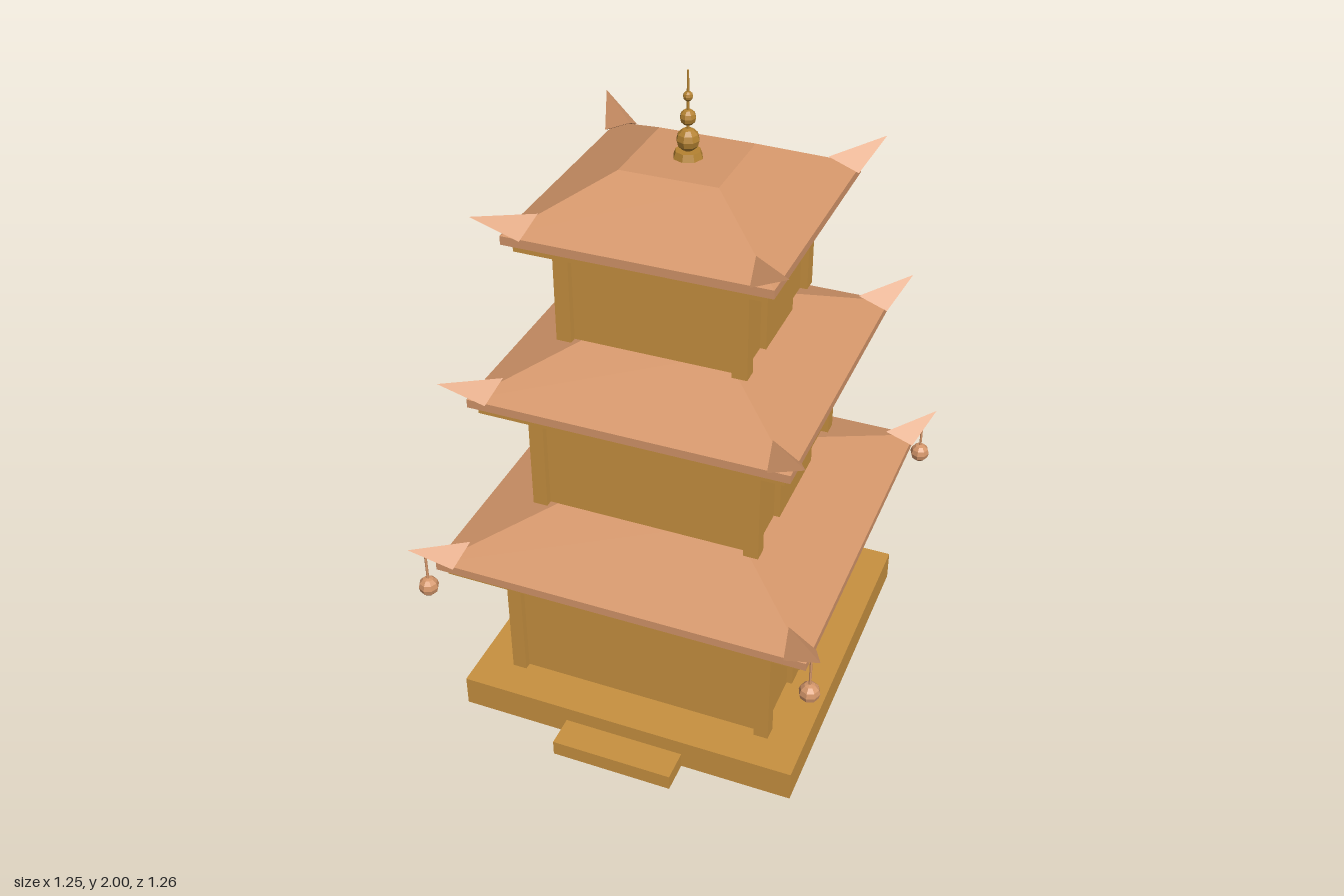
import * as THREE from 'three';

const mat = (name, color) => {
  const m = new THREE.MeshStandardMaterial({ color, flatShading: true });
  m.name = name;
  return m;
};

export function createModel() {
  const gold = mat('gold', 0xc89140);
  const copper = mat('copper', 0xd4966a);
  const bronze = mat('dark gold', 0xb58332);

  const model = new THREE.Group();
  model.name = 'pagoda';

  const add = (parent, name, geometry, material, x = 0, y = 0, z = 0) => {
    const mesh = new THREE.Mesh(geometry, material);
    mesh.name = name;
    mesh.position.set(x, y, z);
    parent.add(mesh);
    return mesh;
  };
  // Box placed by its bottom height
  const box = (parent, name, material, w, h, d, x, y, z) =>
    add(parent, name, new THREE.BoxGeometry(w, h, d), material, x, y + h / 2, z);

  // Square frustum for the hipped roof
  const frustum = (top, bottom, height) => {
    const g = new THREE.CylinderGeometry(top * Math.SQRT2, bottom * Math.SQRT2, height, 4);
    return g.rotateY(Math.PI / 4);
  };

  // Three-sided upturned horn pointing to the +x +z corner of an eave
  const hornGeometry = (half) => {
    const tip = [half + 0.055, 0.073, half + 0.055];
    const ridge = [half - 0.077, 0.043, half - 0.077];
    const a = [half + 0.01, 0, half - 0.062];
    const b = [half - 0.062, 0, half + 0.01];
    const faces = [tip, a, ridge, tip, ridge, b, tip, b, a, ridge, a, b];
    const g = new THREE.BufferGeometry();
    g.setAttribute('position', new THREE.Float32BufferAttribute(faces.flat(), 3));
    g.computeVertexNormals();
    return g;
  };

  const corners = [[1, 1], [1, -1], [-1, -1], [-1, 1]];

  // Base and entrance step
  box(model, 'platform', gold, 1.07, 0.1, 1.07, 0, 0, 0);
  box(model, 'frontStep', gold, 0.38, 0.05, 0.12, 0, 0, 0.572);

  // Storeys: wall bottom, eave bottom, outer wall half, door half width, door top,
  // eave half, roof half, roof top half, roof top height
  const tiers = [
    { y0: 0.1, y1: 0.54, wall: 0.425, door: 0.18, doorTop: 0.43, eave: 0.548, roof: 0.572, cap: 0.225, top: 0.722 },
    { y0: 0.722, y1: 1.085, wall: 0.352, door: 0.15, doorTop: 0.997, eave: 0.452, roof: 0.474, cap: 0.183, top: 1.268 },
    { y0: 1.268, y1: 1.572, wall: 0.282, door: 0.115, doorTop: 1.5, eave: 0.358, roof: 0.382, cap: 0.143, top: 1.752 },
  ];
  const post = 0.045;

  tiers.forEach((t, i) => {
    const storey = new THREE.Group();
    storey.name = `storey${i + 1}`;
    model.add(storey);

    const h = t.y1 - t.y0;
    const body = t.wall - post / 2;
    box(storey, 'walls', gold, body * 2, h, body * 2, 0, t.y0, 0);
    box(storey, 'door', gold, 0.036, t.doorTop - t.y0, t.door * 2, body, t.y0, 0);

    // Eave layers and hipped roof
    box(storey, 'eave', gold, t.eave * 2, 0.028, t.eave * 2, 0, t.y1, 0);
    const slabTop = t.y1 + 0.054;
    box(storey, 'roofEdge', copper, t.roof * 2, 0.026, t.roof * 2, 0, t.y1 + 0.028, 0);
    const rise = t.top - slabTop;
    add(storey, 'roof', frustum(t.cap, t.roof, rise), copper, 0, slabTop + rise / 2, 0);

    // Corner posts and horns
    const horn = hornGeometry(t.roof);
    corners.forEach(([sx, sz], k) => {
      box(storey, 'cornerPost', gold, post, h, post, sx * body, t.y0, sz * body);
      add(storey, 'roofHorn', horn, copper, 0, slabTop, 0).rotation.y = k * Math.PI / 2;
    });
  });

  // Bells hanging from the lowest horns
  for (const [sx, sz] of corners) {
    const bell = new THREE.Group();
    bell.name = 'hangingBell';
    bell.position.set(sx * 0.592, 0, sz * 0.592);
    add(bell, 'bellCord', new THREE.CylinderGeometry(0.004, 0.004, 0.1, 6), copper, 0, 0.585, 0);
    add(bell, 'bellBall', new THREE.SphereGeometry(0.031, 8, 6), copper, 0, 0.515, 0);
    model.add(bell);
  }

  // Finial
  const finial = new THREE.Group();
  finial.name = 'finial';
  model.add(finial);
  add(finial, 'finialBase', new THREE.CylinderGeometry(0.036, 0.043, 0.02, 8), bronze, 0, 1.762, 0);
  add(finial, 'finialNeedle', new THREE.CylinderGeometry(0.003, 0.005, 0.24, 6), bronze, 0, 1.88, 0);
  for (const [r, y] of [[0.033, 1.803], [0.023, 1.867], [0.014, 1.927]])
    add(finial, 'finialBall', new THREE.SphereGeometry(r, 8, 6), bronze, 0, y, 0);

  return model;
}
